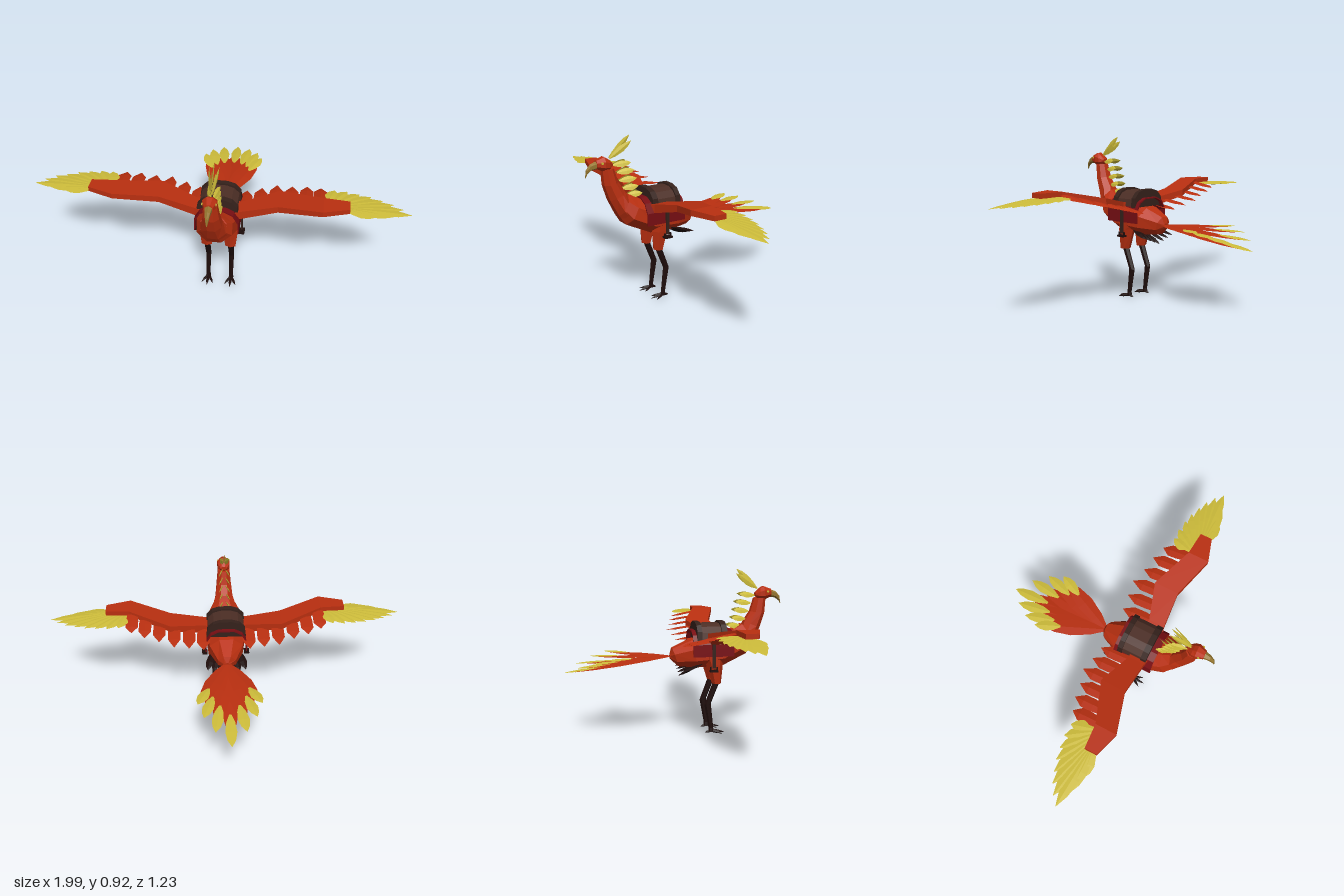
import * as THREE from 'three';

const V = (x, y, z) => new THREE.Vector3(x, y, z);
const mat = (name, color) => Object.assign(new THREE.MeshStandardMaterial({ color }), { name });

// Closed faceted skin through rings [centre, axisA, axisB]; A x B points along the loft
function loft(rings, sides, phase = 0) {
  const k = phase ? 1 / Math.cos(phase) : 1;
  const pts = [], idx = [];
  rings.forEach(([c, a, b]) => {
    for (let i = 0; i < sides; i++) {
      const t = phase + (i / sides) * Math.PI * 2;
      pts.push(c.clone().addScaledVector(a, k * Math.cos(t)).addScaledVector(b, k * Math.sin(t)));
    }
  });
  const last = (rings.length - 1) * sides;
  const start = pts.push(rings[0][0]) - 1, end = pts.push(rings.at(-1)[0]) - 1;
  for (let i = 0; i < sides; i++) {
    const j = (i + 1) % sides;
    for (let r = 0; r < last; r += sides) {
      idx.push(r + i, r + j, r + sides + j, r + i, r + sides + j, r + sides + i);
    }
    idx.push(start, j, i, end, last + i, last + j);
  }
  const g = new THREE.BufferGeometry().setFromPoints(pts);
  g.setIndex(idx);
  const flat = g.toNonIndexed();
  flat.computeVertexNormals();
  return flat;
}

// Side-profile loft: each ring is [zLow, yLow, zHigh, yHigh, halfWidth]
const profile = (rings, sides, x = 0) => loft(rings.map(([z0, y0, z1, y1, w]) => [
  V(x, (y0 + y1) / 2, (z0 + z1) / 2), V(w, 0, 0), V(0, (y1 - y0) / 2, (z1 - z0) / 2)]), sides, Math.PI / sides);

const LEAF = [[0, 0.2], [0.25, 0.75], [0.55, 1], [0.8, 0.7], [1, 0.03]];
const BLADE = [[0, 0.8], [0.4, 1], [0.72, 1], [1, 0.04]];
const SPIKE = [[0, 1], [0.6, 0.8], [1, 0.1]];

export function createModel() {
  const red = mat('red plumage', 0xb92f10);
  const gold = mat('gold plumage', 0xcdbc3a);
  const black = mat('black skin', 0x1e0d0b);
  const brown = mat('saddle leather', 0x4c2e25);
  const dark = mat('dark leather', 0x35211b);
  const crimson = mat('crimson cloth', 0x780e13);
  const horn = mat('horn', 0x94752f);

  const model = new THREE.Group();
  const group = (name) => {
    const g = new THREE.Group();
    g.name = name;
    model.add(g);
    return g;
  };
  const add = (name, geo, material, parent = model) => {
    const m = new THREE.Mesh(geo, material);
    m.name = name;
    parent.add(m);
    return m;
  };
  // Ridged feather from base to tip, flat side facing up
  const feather = (parent, name, material, base, tip, width, shape = LEAF, thick = 0.005, up = V(0, 1, 0)) => {
    const dir = tip.clone().sub(base), len = dir.length();
    const geo = loft(shape.map(([t, w]) => [V(0, 0, t * len), V(w * width / 2, 0, 0), V(0, w * thick, 0)]), 4);
    const z = dir.normalize(), x = up.clone().cross(z).normalize(), y = z.clone().cross(x);
    geo.applyMatrix4(new THREE.Matrix4().makeBasis(x, y, z).setPosition(base));
    return add(name, geo, material, parent);
  };

  // Body and neck
  add('body', profile([
    [-0.022, 0.42, -0.024, 0.445, 0.015], [0.02, 0.38, -0.012, 0.48, 0.05],
    [0.12, 0.373, 0.09, 0.525, 0.095], [0.265, 0.38, 0.265, 0.555, 0.112],
    [0.405, 0.446, 0.34, 0.585, 0.092], [0.44, 0.5, 0.385, 0.61, 0.066],
  ], 8), red);
  add('neck', profile([
    [0.405, 0.446, 0.35, 0.575, 0.08], [0.44, 0.497, 0.39, 0.6, 0.066], [0.487, 0.587, 0.4, 0.625, 0.05],
    [0.515, 0.67, 0.435, 0.68, 0.042], [0.522, 0.755, 0.457, 0.755, 0.034],
  ], 8), red);

  // Head, beak and eyes
  add('head', profile([
    [0.463, 0.765, 0.463, 0.785, 0.018], [0.483, 0.748, 0.49, 0.808, 0.034],
    [0.515, 0.745, 0.51, 0.82, 0.037], [0.555, 0.762, 0.553, 0.805, 0.022],
  ], 8), red);
  add('beak', profile([
    [0.548, 0.762, 0.548, 0.8, 0.019], [0.58, 0.757, 0.585, 0.787, 0.013],
    [0.602, 0.74, 0.607, 0.762, 0.008], [0.612, 0.72, 0.614, 0.722, 0.002],
  ], 6), horn);
  for (const s of [-1, 1]) {
    const eye = add('eye', new THREE.CylinderGeometry(0.007, 0.007, 0.005, 6), gold);
    eye.rotation.z = Math.PI / 2;
    eye.position.set(s * 0.034, 0.792, 0.53);
  }

  // Crest and nape feathers
  const crest = group('crest');
  for (const [x, y, z] of [[0, 0.918, 0.355], [-0.025, 0.89, 0.36], [0.025, 0.89, 0.36], [-0.012, 0.87, 0.38], [0.012, 0.87, 0.38]]) {
    feather(crest, 'crestFeather', gold, V(x * 0.3, 0.808, 0.475), V(x, y, z), 0.034, LEAF, 0.004, V(1, x * 12, 0));
  }
  const nape = group('napeFeathers');
  for (const [y, z, len] of [[0.77, 0.46, 0.095], [0.727, 0.437, 0.092], [0.682, 0.425, 0.092], [0.638, 0.408, 0.085], [0.597, 0.385, 0.085]]) {
    for (const s of [-1, 1]) {
      feather(nape, 'napeFeather', gold, V(s * 0.008, y, z), V(s * 0.03, y + 0.008, z - len), 0.036, LEAF, 0.004, V(1, s * 0.6, 0));
    }
  }

  // Wings: arm, red trailing feathers and gold fan at the tip
  const armY = (x) => 0.5 + Math.min(x, 0.55) * 0.235;
  for (const s of [-1, 1]) {
    const wing = group(s > 0 ? 'leftWing' : 'rightWing');
    const ring = (x, y, z0, z1, h) => [V(s * x, y, (z0 + z1) / 2), V(0, s * h, 0), V(0, 0, (z1 - z0) / 2)];
    add('wingArm', loft([
      ring(0.06, 0.52, 0.18, 0.3, 0.028), ring(0.12, 0.535, 0.19, 0.28, 0.024), ring(0.315, 0.583, 0.125, 0.265, 0.018),
      ring(0.545, 0.633, 0.215, 0.335, 0.015), ring(0.68, 0.634, 0.225, 0.293, 0.013),
    ], 4, Math.PI / 4), red, wing);
    [[0.13, 0.025], [0.21, 0.015], [0.292, 0.003], [0.375, 0.03], [0.455, 0.045], [0.528, 0.072]].forEach(([x, z]) => {
      feather(wing, 'flightFeather', red, V(s * x, armY(x) + 0.005, 0.225), V(s * x, armY(x) - 0.025, z), 0.07, BLADE, 0.006);
    });
    [[0.6, 0.1], [0.665, 0.098], [0.73, 0.108], [0.79, 0.12], [0.85, 0.14], [0.905, 0.162], [0.955, 0.193], [0.995, 0.23], [0.9, 0.262], [0.81, 0.285]]
      .forEach(([x, z], i) => {
        const base = V(s * (0.565 + 0.011 * Math.min(i, 8)), 0.622, 0.225 + 0.004 * i);
        feather(wing, 'tipFeather', gold, base, V(s * x, 0.615 - (x - 0.6) * 0.05, z), 0.072, LEAF, 0.004);
      });
  }

  // Tail fan: long red feathers with gold tips
  const tail = group('tail');
  const tips = [[0, 0.352, -0.612], [0.08, 0.39, -0.542], [0.137, 0.42, -0.462], [0.168, 0.442, -0.38]];
  tips.forEach((p, i) => {
    for (const s of i ? [-1, 1] : [1]) {
      const root = V(0, 0.435, -0.01), tip = V(p[0] * s, p[1], p[2]);
      feather(tail, 'tailFeather', red, root, root.clone().lerp(tip, 0.9), 0.095, LEAF, 0.004);
      const lift = V(0, 0.006, 0);
      feather(tail, 'tailTip', gold, root.clone().lerp(tip, 0.64).add(lift), tip.clone().add(lift), 0.062, LEAF, 0.004);
    }
  });

  // Dark feathers under the rump
  const rump = group('rumpFeathers');
  for (let k = -3; k <= 3; k++) {
    const a = Math.abs(k);
    feather(rump, 'rumpFeather', black, V(0.028 * k, 0.38 + 0.006 * a, 0.145), V(0.036 * k, 0.322 + 0.013 * a, 0.025), 0.042, LEAF, 0.009);
  }

  // Legs and clawed feet
  for (const s of [-1, 1]) {
    const leg = group(s > 0 ? 'leftLeg' : 'rightLeg');
    const x = s * 0.065;
    add('thigh', profile([
      [0.155, 0.45, 0.26, 0.45, 0.042], [0.175, 0.4, 0.26, 0.39, 0.04], [0.208, 0.285, 0.253, 0.285, 0.028],
    ], 6, x), red, leg);
    add('shank', profile([
      [0.212, 0.292, 0.246, 0.292, 0.015], [0.165, 0.165, 0.197, 0.17, 0.013],
      [0.19, 0.03, 0.213, 0.03, 0.01], [0.188, 0.008, 0.216, 0.008, 0.013],
    ], 6, x), black, leg);
    for (const [dx, z] of [[-0.032, 0.258], [0, 0.278], [0.032, 0.258], [0, 0.168]]) {
      feather(leg, 'toe', black, V(x, 0.014, 0.202), V(x + dx, 0.003, z), 0.018, SPIKE, 0.009);
    }
  }

  // Saddle: arched slabs laid across the back
  const saddle = group('saddle');
  const arch = (name, material, half, z0, z1) => {
    const all = [...half, ...half.slice().reverse().map(([px, py]) => [-px, py])];
    const shape = new THREE.Shape(all.map(([px, py]) => new THREE.Vector2(px, py)));
    const geo = new THREE.ExtrudeGeometry(shape, { depth: z1 - z0, bevelEnabled: false });
    add(name, geo.translate(0, 0, z0), material, saddle);
  };
  // Cloth is an open strip folded over the back
  const fold = [[-0.118, 0.443], [-0.118, 0.51], [-0.09, 0.56], [-0.045, 0.582], [0.045, 0.582], [0.09, 0.56], [0.118, 0.51], [0.118, 0.443]];
  const strip = [...fold, ...fold.slice().reverse().map(([px, py]) => [px * 0.95, py > 0.5 ? py - 0.006 : py])];
  const cloth = new THREE.ExtrudeGeometry(new THREE.Shape(strip.map(([a, b]) => new THREE.Vector2(a, b))), { depth: 0.23, bevelEnabled: false });
  add('saddleCloth', cloth.translate(0, 0, 0.09), crimson, saddle);
  arch('seat', brown, [[0.108, 0.535], [0.1, 0.575], [0.07, 0.605], [0.03, 0.618]], 0.13, 0.26);
  arch('frontRim', dark, [[0.112, 0.53], [0.106, 0.582], [0.075, 0.615], [0.032, 0.628]], 0.25, 0.282);
  arch('backRim', dark, [[0.112, 0.53], [0.106, 0.582], [0.075, 0.615], [0.032, 0.628]], 0.113, 0.14);

  // Stirrups
  for (const s of [-1, 1]) {
    add('stirrupStrap', new THREE.BoxGeometry(0.008, 0.14, 0.018), dark, saddle).position.set(s * 0.123, 0.45, 0.203);
    add('stirrupTread', new THREE.BoxGeometry(0.03, 0.01, 0.045), black, saddle).position.set(s * 0.123, 0.365, 0.203);
    for (const dz of [-0.018, 0.018]) {
      add('stirrupSide', new THREE.BoxGeometry(0.008, 0.02, 0.007), black, saddle).position.set(s * 0.123, 0.377, 0.203 + dz);
    }
  }
  return model;
}
